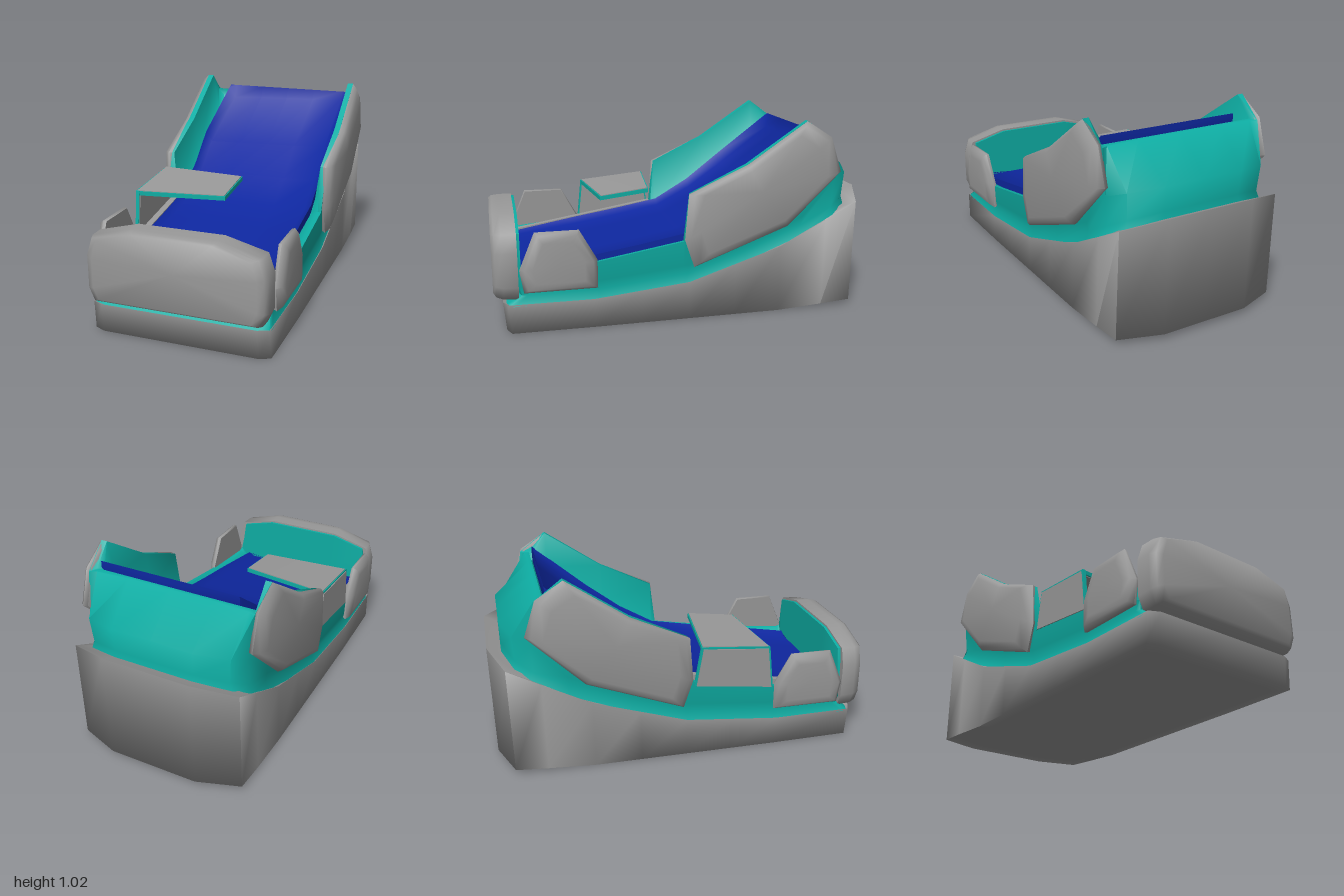
import * as THREE from 'three';
import { toCreasedNormals } from 'three/addons/utils/BufferGeometryUtils.js';

const grey = new THREE.MeshStandardMaterial({ color: 0x999999 });
const teal = new THREE.MeshStandardMaterial({ color: 0x0eada3 });
const blue = new THREE.MeshStandardMaterial({ color: 0x0e27a0 });

// Skins closed cross-sections into a solid; faces are turned outward by signed volume.
function loft(name, rings, material, crease, loop = false) {
  const n = rings[0].length, m = rings.length, pos = rings.flat(2), idx = [];
  for (let i = 0; i < (loop ? m : m - 1); i++) {
    for (let j = 0; j < n; j++) {
      const a = i * n + j, b = i * n + (j + 1) % n;
      const k = ((i + 1) % m) * n, c = k + (j + 1) % n, d = k + j;
      idx.push(a, b, c, a, c, d);
    }
  }
  if (!loop) {
    for (const [r, last] of [[0, false], [m - 1, true]]) {
      const centre = [0, 1, 2].map(k => rings[r].reduce((s, p) => s + p[k], 0) / n);
      const ci = pos.length / 3;
      pos.push(...centre);
      for (let j = 0; j < n; j++) {
        const a = r * n + j, b = r * n + (j + 1) % n;
        if (last) idx.push(ci, a, b); else idx.push(ci, b, a);
      }
    }
  }
  const v = i => new THREE.Vector3().fromArray(pos, i * 3);
  let volume = 0;
  for (let i = 0; i < idx.length; i += 3) volume += v(idx[i]).dot(v(idx[i + 1]).cross(v(idx[i + 2])));
  if (volume < 0) idx.reverse();
  const g = new THREE.BufferGeometry();
  g.setAttribute('position', new THREE.Float32BufferAttribute(pos, 3));
  g.setIndex(idx);
  const mesh = new THREE.Mesh(toCreasedNormals(g, crease), material);
  mesh.name = name;
  return mesh;
}

// Piecewise-linear height along z; points run from front (+z) to back.
function along(points, z) {
  if (z >= points[0][0]) return points[0][1];
  for (let i = 1; i < points.length; i++) {
    const [z0, y0] = points[i - 1], [z1, y1] = points[i];
    if (z >= z1) return y0 + (y1 - y0) * (z0 - z) / (z0 - z1);
  }
  return points[points.length - 1][1];
}

// Completes a half outline that starts and ends on the centre line.
const mirrored = half => [...half, ...half.slice(1, -1).reverse().map(([x, ...r]) => [-x, ...r])];

const baseTop = [[0.96, 0.15], [0.5, 0.15], [0, 0.2], [-0.5, 0.36], [-1, 0.62]];
const bedTop = [[0.86, 0.3], [0.5, 0.36], [0, 0.44], [-0.4, 0.7], [-0.7, 0.93]];

// Wedge-shaped foot of the bed, with softly shaded corners
function makeBase() {
  const plan = mirrored([[0, 0.955], [0.4, 0.955], [0.455, 0.93], [0.462, 0.5], [0.462, 0.25], [0.462, 0],
    [0.462, -0.25], [0.462, -0.5], [0.462, -0.75], [0.457, -0.92], [0.24, -1], [0, -1]]);
  const ring = (sx, sz, yOf) => plan.map(([x, z]) => [x * sx, yOf(z), z * sz]);
  const bottom = z => (z < -0.5 ? 0.06 * (-0.5 - z) : 0);
  return loft('base', [
    ring(0.88, 0.9, bottom),
    ring(1.01, 0.985, bottom),
    ring(1, 1, z => along(baseTop, z)),
    ring(0.93, 0.93, z => along(baseTop, z) - 0.03),
  ], grey, 1.62);
}

// Hollow tub; each station is x, z, shoulder height, top height, top x, top z
function makeTub() {
  const side = (z, top, topX = 0.455) => [0.45, z, along(baseTop, z) + 0.09, top, topX, z];
  const half = [
    [0, 0.88, 0.23, 0.555, 0, 0.88], [0.22, 0.88, 0.23, 0.555, 0.22, 0.88],
    [0.41, 0.88, 0.23, 0.505, 0.41, 0.88], [0.445, 0.868, 0.23, 0.32, 0.445, 0.868],
    side(0.84, 0.31), side(0.48, 0.345),
    side(0.03, 0.42), side(0, 0.67, 0.468), side(-0.3, 0.81, 0.468), side(-0.62, 1.025, 0.468),
    [0.45, -0.79, 0.7, 0.92, 0.45, -0.765], [0.39, -0.875, 0.73, 0.92, 0.415, -0.745],
    [0.22, -0.93, 0.745, 0.92, 0.24, -0.735], [0, -0.93, 0.75, 0.92, 0, -0.735],
  ];
  const stations = mirrored(half).map(([x, z, low, top, xt, zt]) => {
    const s = x < 0 ? -1 : 1, foot = along(baseTop, z);
    const tx = s * Math.abs(xt), ix = s * Math.min(Math.abs(xt), 0.436);
    const iz = Math.max(-0.715, Math.min(0.86, zt));
    const lz = Math.max(-0.68, Math.min(0.82, zt));
    const ledge = Math.min(along(bedTop, lz) - 0.03, top - 0.02);
    return [
      [x * 1.015, foot - 0.01, z > 0.8 ? z + 0.06 : z],
      [x * 0.975, foot + 0.04, z * 0.99],
      [x, low, z], [tx, top, zt], [ix, top, iz],
      [ix * 0.92, ledge, iz], [ix * 0.86, ledge - 0.02, lz],
    ];
  });
  return loft('tub', stations, teal, 1.1, true);
}

// Rimmed mattress: z, rim height, rim depth on each side, right and left edges
function makeMattress() {
  const rows = [[0.86, 0.3, 0.02, 0.02, -0.39, 0.385], [0.5, 0.36, 0.03, 0.03, -0.385, 0.39],
    [0.25, 0.4, 0.03, 0.03, -0.385, 0.39], [0, 0.445, 0.03, 0.03, -0.385, 0.39],
    [-0.2, 0.56, 0.045, 0.035, -0.39, 0.39], [-0.4, 0.71, 0.06, 0.035, -0.4, 0.395],
    [-0.685, 0.945, 0.065, 0.04, -0.35, 0.418], [-0.7, 0.957, 0, 0, -0.345, 0.42]];
  const rings = rows.map(([z, y, dl, dr, l, r]) => [
    [l, y - 0.13, z], [l, y, z],
    ...[0.05, 0.28, 0.5, 0.72, 0.95].map(t => [l + (r - l) * t, y - dl + (dl - dr) * t, z]),
    [r, y, z], [r, y - 0.13, z],
  ]);
  return loft('mattress', rings, blue, 1.2);
}

// Domed armour panel from a (z, y) outline on one flank
function makePanel(name, outline, sideSign, steps) {
  const cz = outline.reduce((s, p) => s + p[0], 0) / outline.length;
  const cy = outline.reduce((s, p) => s + p[1], 0) / outline.length;
  const rings = steps.map(([x, k]) =>
    outline.map(([z, y]) => [sideSign * x, cy + (y - cy) * k, cz + (z - cz) * k]));
  return loft(name, rings, grey, 1.2);
}

// Rounded front bumper
function makeBumper() {
  const outline = [[-0.46, 0.24], [-0.46, 0.42], [-0.43, 0.51], [-0.22, 0.565], [0.22, 0.565],
    [0.43, 0.51], [0.46, 0.42], [0.46, 0.24], [0.43, 0.17], [-0.43, 0.17]];
  const rings = [[0.875, 1, 1], [0.95, 0.995, 0.98], [0.985, 0.965, 0.93], [1, 0.9, 0.86]].map(([z, kx, ky]) =>
    outline.map(([x, y]) => [x * kx, y > 0.37 ? y - (1 - kx) * 0.1 : 0.37 + (y - 0.37) * ky, z]));
  return loft('frontBumper', rings, grey, 1.2);
}

// Side table cantilevered from an upright on the right flank
function makeTable() {
  const g = new THREE.Group();
  g.name = 'sideTable';
  const slab = (name, quad, offset, mat) =>
    g.add(loft(name, [quad, quad.map(p => p.map((c, k) => c + offset[k]))], mat, 0.3));
  const top = (e, y) => [[-0.455 + e, 0.573 + y, 0.45 - e], [0.033 - e, 0.581 + y, 0.4 - e],
    [0.033 - e, 0.613 + y, 0.13 + e], [-0.455 + e, 0.606 + y, 0.075 + e]];
  slab('tableCore', top(0, -0.002), [0, -0.022, 0], teal);
  slab('tableTop', top(0.006, -0.004), [0, 0.006, 0], grey);
  slab('tableUnderside', top(0.01, -0.027), [0, 0.006, 0], grey);
  const post = (e, x) => [[x, 0.34, 0.475 - e], [x, 0.573 - e, 0.45 - e],
    [x, 0.604 - e, 0.075 + e], [x, 0.39, 0.04 + e]];
  slab('uprightCore', post(0, -0.455), [0.018, 0, 0], teal);
  slab('uprightOuter', post(0.01, -0.46), [0.008, 0, 0], grey);
  slab('uprightInner', post(0.008, -0.44), [0.007, 0, 0], grey);
  slab('innerRail', [[-0.42, 0.305, 0.86], [-0.385, 0.305, 0.86], [-0.385, 0.44, 0.04], [-0.42, 0.44, 0.04]],
    [0, -0.04, 0], grey);
  return g;
}

export function createModel() {
  const model = new THREE.Group();
  model.name = 'reclinedBed';
  model.add(makeBase(), makeTub(), makeMattress(), makeBumper(), makeTable());
  const rear = [[0.01, 0.67], [-0.3, 0.81], [-0.62, 1.025], [-0.76, 0.935], [-0.82, 0.75],
    [-0.53, 0.47], [-0.02, 0.28], [0.03, 0.43]];
  const front = [[0.48, 0.36], [0.57, 0.522], [0.79, 0.522], [0.87, 0.33], [0.85, 0.21], [0.48, 0.21]];
  for (const [s, side] of [[1, 'left'], [-1, 'right']]) {
    model.add(makePanel(side + 'RearPanel', rear, s, [[0.446, 0.97], [0.468, 0.995], [0.492, 0.93], [0.505, 0.8]]));
    model.add(makePanel(side + 'FrontPanel', front, s, [[0.446, 0.97], [0.462, 1], [0.485, 0.88], [0.492, 0.66]]));
  }
  return model;
}
